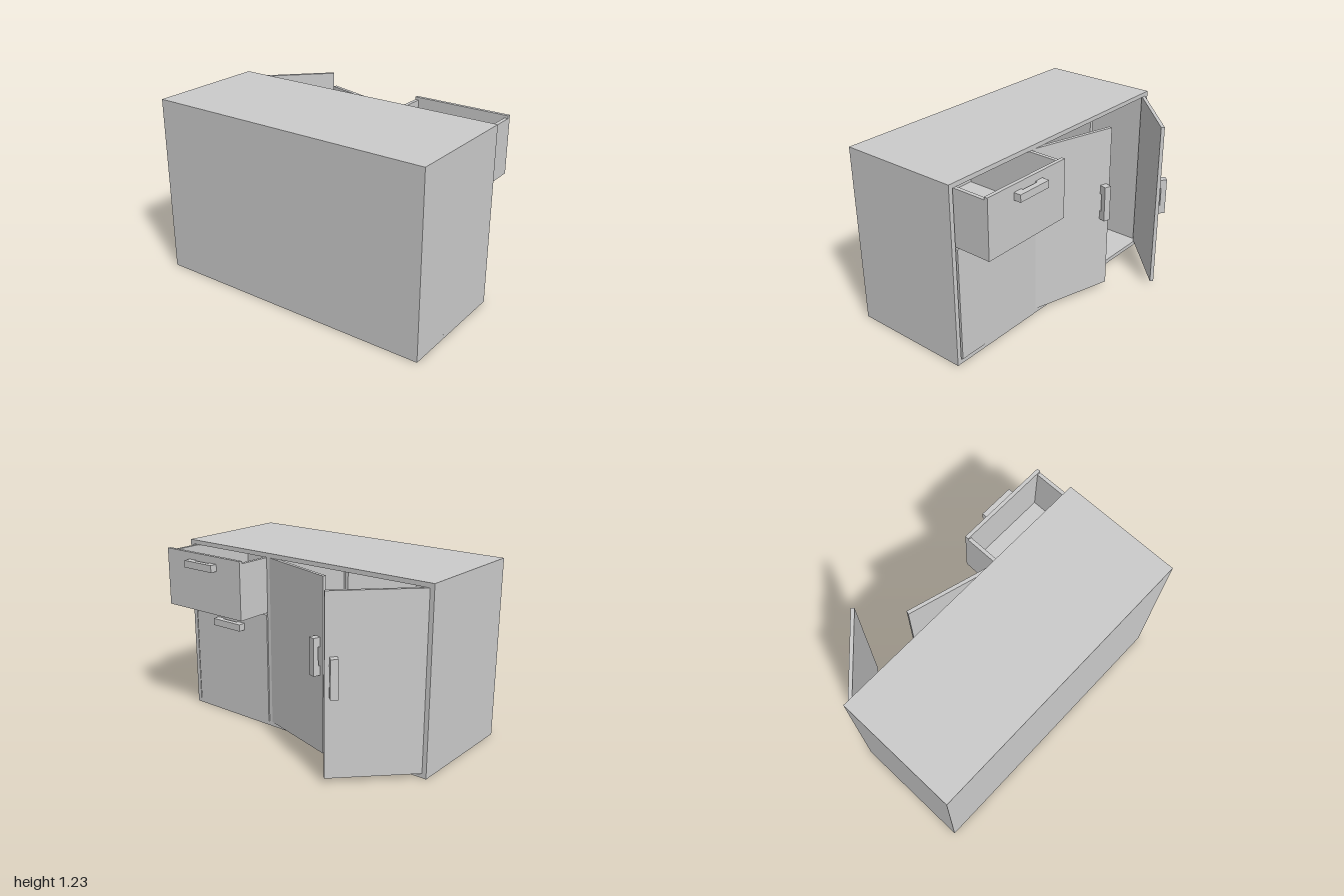
import * as THREE from 'three';

const material = new THREE.MeshStandardMaterial({ color: 0xcccccc, flatShading: true });

// Box given by its min and max along each axis
function box(name, [x0, x1], [y0, y1], [z0, z1]) {
  const mesh = new THREE.Mesh(new THREE.BoxGeometry(x1 - x0, y1 - y0, z1 - z0), material);
  mesh.name = name;
  mesh.position.set((x0 + x1) / 2, (y0 + y1) / 2, (z0 + z1) / 2);
  return mesh;
}

// Bridge handle, upright, standing out along +x from x = 0
function handle() {
  const pts = [[0, -0.125], [0.05, -0.125], [0.05, 0.125], [0, 0.125],
    [0, 0.063], [0.014, 0.063], [0.014, -0.063], [0, -0.063]];
  const shape = new THREE.Shape(pts.map(p => new THREE.Vector2(...p)));
  const geometry = new THREE.ExtrudeGeometry(shape, { depth: 0.048, bevelEnabled: false });
  geometry.translate(0, 0, -0.024);
  const mesh = new THREE.Mesh(geometry, material);
  mesh.name = 'handle';
  return mesh;
}

// Open-topped drawer whose front face lies at x = front
function drawer(name, front, y0, y1, handleY) {
  const group = new THREE.Group();
  group.name = name;
  const wall = 0.025, back = front - 0.78, inner = front - wall;
  const z0 = 0.285, z1 = 0.96, top = y1 - 0.018;
  group.add(
    box('drawerFront', [inner, front], [y0, y1], [z0, z1]),
    box('drawerBottom', [back, inner], [y0, y0 + wall], [z0, z1]),
    box('drawerSideRight', [back, inner], [y0 + wall, top], [z0, z0 + wall]),
    box('drawerSideLeft', [back, inner], [y0 + wall, top], [z1 - wall, z1]),
    box('drawerBack', [back, back + wall], [y0 + wall, top], [z0 + wall, z1 - wall])
  );
  const grip = handle();
  grip.rotation.x = Math.PI / 2;
  grip.position.set(front, handleY, 0.62);
  group.add(grip);
  return group;
}

// Door hinged at z = hingeZ; dir is the side it extends to when shut
function door(name, hingeZ, dir, angle) {
  const group = new THREE.Group();
  group.name = name;
  const length = 0.602;
  group.add(box('doorPanel', [-0.024, 0], [0.03, 1.2], dir > 0 ? [0, length] : [-length, 0]));
  const grip = handle();
  grip.position.set(0, 0.683, dir * (length - 0.053));
  group.add(grip);
  group.position.set(0.2, 0, hingeZ);
  group.rotation.y = dir * angle;
  return group;
}

export function createModel() {
  const model = new THREE.Group();
  model.name = 'sideboard';

  // Carcass, open toward +x
  const carcass = new THREE.Group();
  carcass.name = 'carcass';
  const X = [-0.64, 0.2], inside = [-0.61, 0.2], Y = [0.03, 1.2];
  carcass.add(
    box('topPanel', X, [1.2, 1.23], [-1, 1]),
    box('bottomPanel', X, [0, 0.03], [-1, 1]),
    box('backPanel', [-0.64, -0.61], Y, [-1, 1]),
    box('sideRight', inside, Y, [-1, -0.97]),
    box('sideLeft', inside, Y, [0.97, 1]),
    box('drawerDivider', inside, Y, [0.255, 0.28]),
    box('cupboardDivider', [-0.61, 0.175], Y, [-0.372, -0.348])
  );

  model.add(
    carcass,
    drawer('upperDrawer', 0.45, 0.82, 1.215, 1.143),
    drawer('lowerDrawer', 0.205, 0.031, 0.805, 0.683),
    door('middleDoor', 0.255, -1, 0.275),
    door('endDoor', -0.97, 1, Math.PI / 4)
  );
  return model;
}
